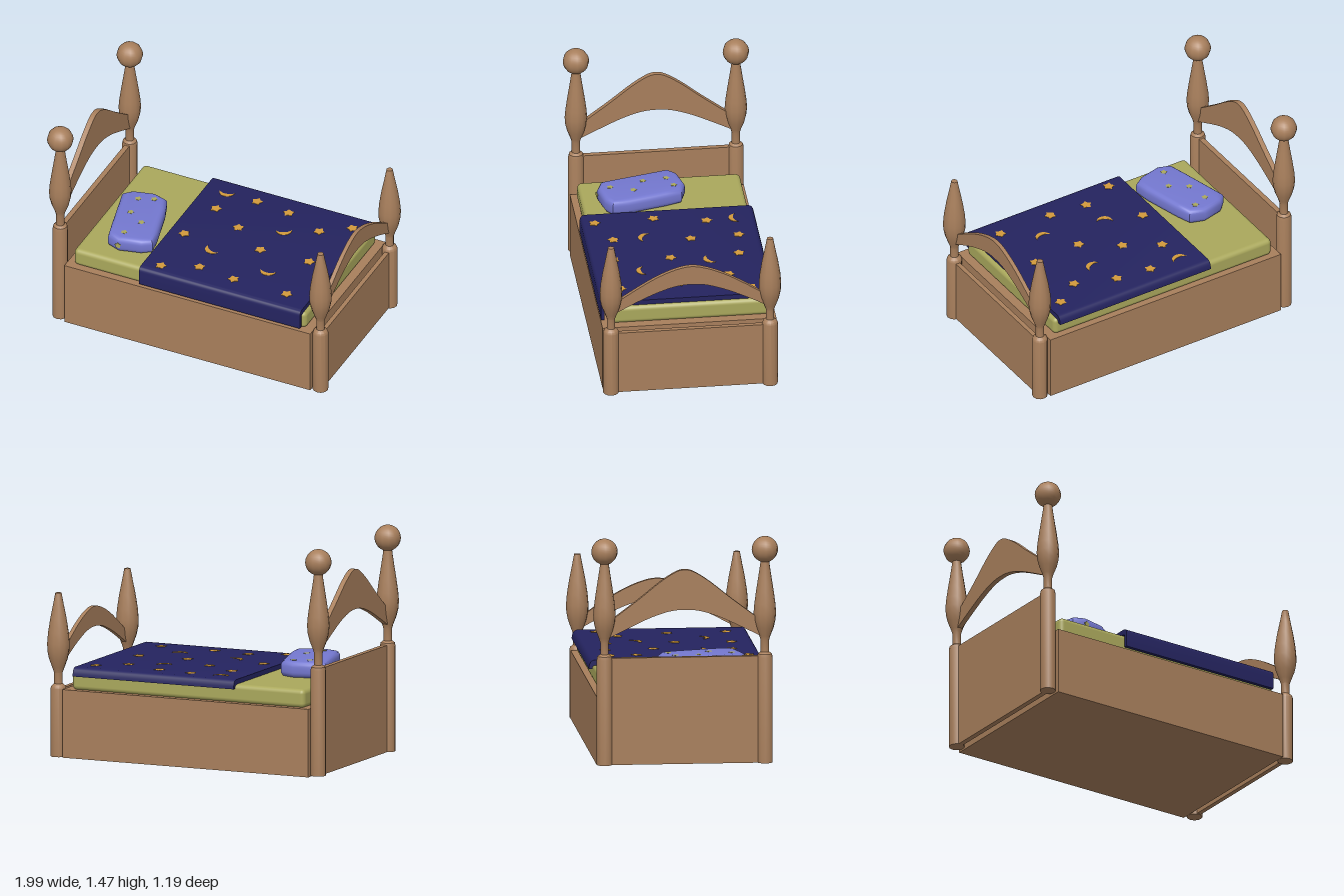
import * as THREE from 'three';
import { toCreasedNormals } from 'three/addons/utils/BufferGeometryUtils.js';
import { RoundedBoxGeometry } from 'three/addons/geometries/RoundedBoxGeometry.js';

const material = (name, color) => {
  const m = new THREE.MeshStandardMaterial({ color });
  m.name = name;
  return m;
};
const vectors = (points) => points.map(([x, y]) => new THREE.Vector2(x, y));

export function createModel() {
  const wood = material('wood', 0xa87f5c);
  const sheet = material('sheet green', 0xaaa85c);
  const navy = material('blanket navy', 0x24235f);
  const lilac = material('pillow blue', 0x7478d0);
  const gold = material('gold', 0xd29a3c);

  const bed = new THREE.Group();
  bed.name = 'bed';
  const add = (name, geometry, mat, x = 0, y = 0, z = 0) => {
    const mesh = new THREE.Mesh(geometry, mat);
    mesh.name = name;
    mesh.position.set(x, y, z);
    bed.add(mesh);
    return mesh;
  };

  // Box base and end boards
  add('base', new THREE.BoxGeometry(1.735, 0.44, 1.115), wood, 0.0025, 0.22, 0);
  add('headboard', new THREE.BoxGeometry(0.034, 0.69, 1.0), wood, -0.914, 0.355, 0);
  add('footboard', new THREE.BoxGeometry(0.03, 0.43, 1.0), wood, 0.922, 0.22, 0);

  // Turned posts
  const post = (points) => toCreasedNormals(
    new THREE.LatheGeometry(vectors(points), 12), 0.6);
  const headPost = post([[0, 0.01], [0.05, 0.01], [0.05, 0.69], [0.045, 0.712], [0.027, 0.725],
    [0.027, 0.8], [0.036, 0.83], [0.056, 0.88], [0.068, 0.93], [0.072, 0.98], [0.067, 1.04],
    [0.056, 1.12], [0.042, 1.21], [0.03, 1.29], [0.027, 1.33], [0, 1.33]]);
  const footPost = post([[0, 0], [0.05, 0], [0.05, 0.44], [0.045, 0.455], [0.027, 0.47],
    [0.027, 0.54], [0.04, 0.575], [0.06, 0.63], [0.07, 0.68], [0.072, 0.73], [0.066, 0.8],
    [0.052, 0.89], [0.034, 0.98], [0.02, 1.055], [0, 1.055]]);
  const ball = new THREE.SphereGeometry(0.084, 12, 18);
  for (const side of [-1, 1]) {
    add('headPost', headPost, wood, -0.915, 0, side * 0.513);
    add('headPostBall', ball, wood, -0.915, 1.387, side * 0.513);
    add('footPost', footPost, wood, 0.92, 0, side * 0.51);
  }

  // Curved rails between the posts, mirrored about the middle
  const arch = (name, x, depth, top, bottom) => {
    const mirrored = (half) => [...half.slice(1).reverse().map(([z, y]) => [-z, y]), ...half];
    const upper = new THREE.SplineCurve(vectors(mirrored(top))).getPoints(36);
    const lower = new THREE.SplineCurve(vectors(mirrored(bottom))).getPoints(36);
    const shape = new THREE.Shape([...lower, ...upper.reverse()]);
    const g = new THREE.ExtrudeGeometry(shape, { depth, bevelEnabled: false });
    g.translate(0, 0, -depth / 2).rotateY(Math.PI / 2);
    add(name, toCreasedNormals(g, 0.6), wood, x, 0, 0);
  };
  arch('headArch', -0.914, 0.034,
    [[0, 1.264], [0.06, 1.249], [0.16, 1.185], [0.3, 1.073], [0.49, 0.93]],
    [[0, 1.006], [0.1, 0.996], [0.22, 0.957], [0.35, 0.897], [0.49, 0.827]]);
  arch('footArch', 0.922, 0.027,
    [[0, 0.89], [0.1, 0.871], [0.22, 0.82], [0.35, 0.743], [0.49, 0.65]],
    [[0, 0.76], [0.1, 0.75], [0.22, 0.71], [0.35, 0.65], [0.49, 0.575]]);

  // Mattress
  add('mattress', new RoundedBoxGeometry(1.64, 0.12, 1.045, 3, 0.03), sheet, 0, 0.496, -0.003);

  // Blanket: one cross-section, hanging lower on the front side
  const fold = new THREE.Shape();
  fold.moveTo(-0.558, 0.46);
  fold.lineTo(-0.558, 0.555);
  fold.quadraticCurveTo(-0.555, 0.587, -0.52, 0.587);
  fold.lineTo(0.52, 0.587);
  fold.quadraticCurveTo(0.555, 0.585, 0.558, 0.53);
  fold.lineTo(0.535, 0.53);
  fold.quadraticCurveTo(0.535, 0.553, 0.51, 0.553);
  fold.lineTo(-0.51, 0.553);
  fold.quadraticCurveTo(-0.535, 0.553, -0.535, 0.535);
  fold.lineTo(-0.535, 0.46);
  const foldGeometry = new THREE.ExtrudeGeometry(fold, { depth: 1.135, bevelEnabled: false, curveSegments: 6 });
  foldGeometry.rotateY(Math.PI / 2);
  add('blanket', toCreasedNormals(foldGeometry, 0.6), navy, -0.338, 0, 0);

  // Flat star and moon plates
  const plate = (shape) => new THREE.ExtrudeGeometry(shape, { depth: 0.004, bevelEnabled: false });
  const starShape = (r) => {
    const points = [];
    for (let i = 0; i < 10; i++) {
      const a = Math.PI / 2 + i * Math.PI / 5;
      const k = i % 2 ? r * 0.66 : r;
      points.push([k * Math.cos(a), k * Math.sin(a)]);
    }
    return new THREE.Shape(vectors(points));
  };
  const star = plate(starShape(0.038));
  const moonShape = new THREE.Shape();
  moonShape.moveTo(-0.052, 0.022);
  moonShape.bezierCurveTo(-0.045, -0.047, 0.045, -0.047, 0.052, 0.022);
  moonShape.bezierCurveTo(0.03, -0.008, -0.03, -0.008, -0.052, 0.022);
  const moon = plate(moonShape);

  const stars = [[0.03, -0.417], [0.265, -0.39], [0.703, -0.415], [0.527, -0.293], [-0.174, -0.235],
    [0.045, -0.108], [-0.238, 0.098], [0.275, 0.05], [0.612, 0.033], [0.006, 0.385],
    [0.26, 0.412], [0.635, 0.413], [-0.222, 0.478]];
  stars.forEach(([x, z], i) => {
    add('blanketStar', star, gold, x, 0.5855, z).rotation.set(-Math.PI / 2, 0, (i % 4) * 0.35);
  });
  const moons = [[-0.185, -0.408, 0.1], [0.33, -0.187, 0.5], [-0.01, 0.192, -0.5], [0.423, 0.257, 0.1]];
  for (const [x, z, turn] of moons) {
    add('blanketMoon', moon, gold, x, 0.5855, z).rotation.set(-Math.PI / 2, 0, turn);
  }

  // Pillow: soft-edged slab from its plan outline, inset by the bevel
  const outline = [[-0.74, -0.07], [-0.7, -0.11], [-0.56, -0.145], [-0.475, -0.12], [-0.435, -0.03],
    [-0.36, 0.27], [-0.355, 0.355], [-0.4, 0.387], [-0.55, 0.424], [-0.62, 0.4], [-0.66, 0.29]];
  const cx = -0.548, cz = 0.14;
  const inner = outline.map(([x, z]) => {
    const d = Math.hypot(x - cx, z - cz), k = 1 - 0.035 / d;
    return [(x - cx) * k, -(z - cz) * k];
  });
  const pillow = new THREE.ExtrudeGeometry(new THREE.Shape(vectors(inner)),
    { depth: 0.035, bevelThickness: 0.035, bevelSize: 0.032, bevelSegments: 4 });
  pillow.rotateX(-Math.PI / 2);
  add('pillow', toCreasedNormals(pillow, 0.8), lilac, cx, 0.589, cz);

  // Small patches on the pillow top and sides
  const dot = plate(starShape(0.023));
  for (const [x, z] of [[-0.625, -0.03], [-0.53, -0.068], [-0.605, 0.122], [-0.495, 0.195], [-0.548, 0.338]]) {
    add('pillowStar', dot, sheet, x, 0.6565, z).rotation.x = -Math.PI / 2;
  }
  const sidePatches = [[-0.37, 0.24, 1.82], [-0.432, -0.01, 1.82], [-0.653, 0.29, -1.3], [-0.553, 0.421, 0.2]];
  for (const [x, z, turn] of sidePatches) {
    add('pillowSideStar', dot, sheet, x, 0.607, z).rotation.y = turn;
  }

  return bed;
}
